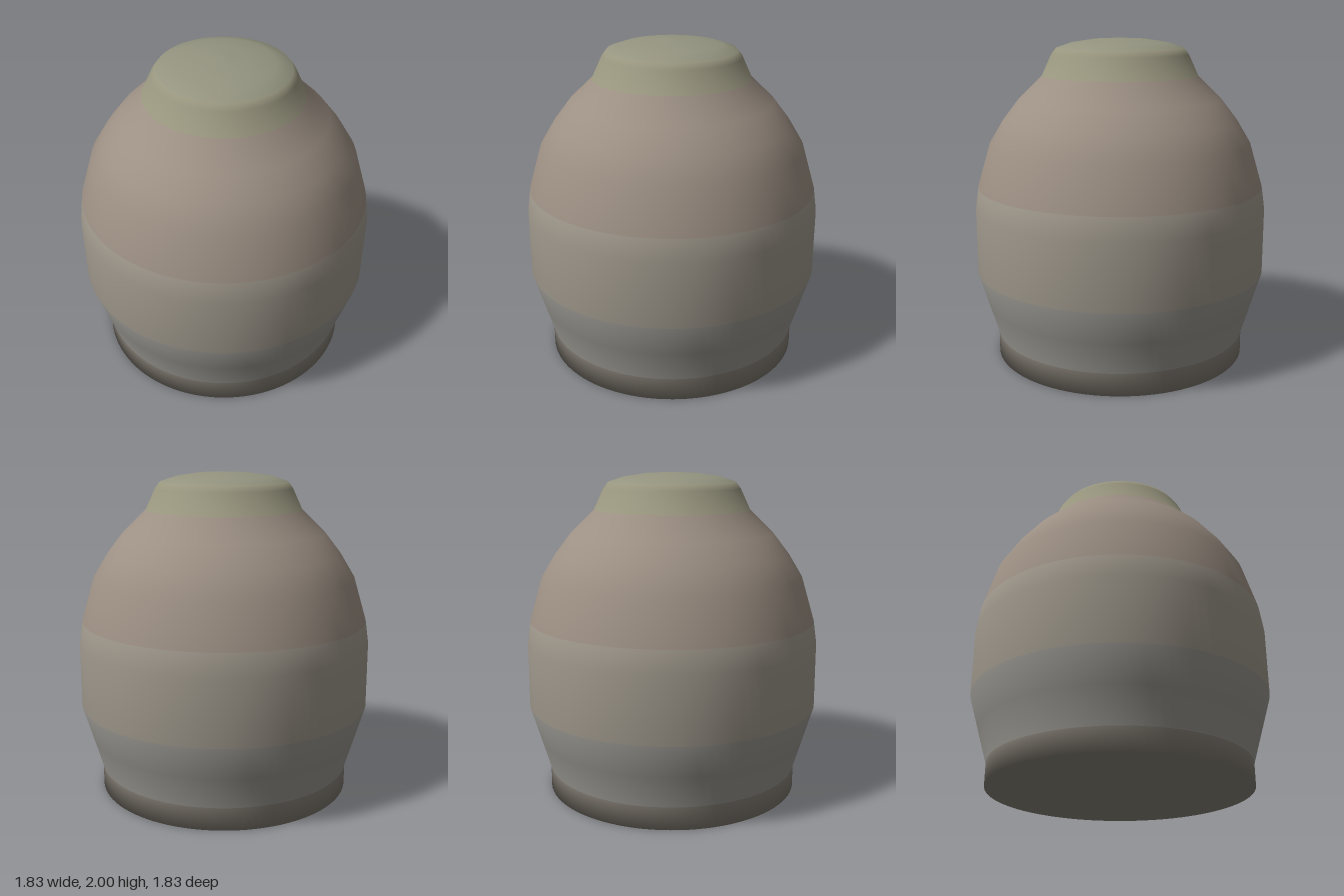
import * as THREE from 'three';
import { mergeVertices } from 'three/addons/utils/BufferGeometryUtils.js';

// Outline of the turned vessel, from the centre of its underside to the crown: [radius, height]
const PROFILE = [
  [0, 0], [0.795, 0], [0.795, 0.14], [0.855, 0.345], [0.915, 0.55], [0.915, 0.95],
  [0.895, 1.09], [0.815, 1.36], [0.73, 1.5], [0.63, 1.63], [0.485, 1.77],
  [0.425, 1.9], [0.395, 1.94], [0.3, 1.972], [0.16, 1.993], [0, 2],
];

// Glaze bands, each spanning a run of profile points
const BANDS = [
  { name: 'foot', from: 0, to: 2, color: 0x8a847a },
  { name: 'lowerBody', from: 2, to: 4, color: 0x96948e },
  { name: 'belly', from: 4, to: 6, color: 0x9f988c },
  { name: 'shoulder', from: 6, to: 10, color: 0x9d9084 },
  { name: 'neck', from: 10, to: 12, color: 0x99967f },
  { name: 'crown', from: 12, to: 15, color: 0x949480 },
];

const SEGMENTS = 96;

// Cuts one band out of the full lathe, keeping its smooth normals across the seams
function cutBand(lathe, from, to) {
  const last = PROFILE.length - 1;
  const rowOf = (vertex) => vertex % (last + 1);
  const source = lathe.index.array;
  const kept = [];
  for (let i = 0; i < source.length; i += 3) {
    const tri = [source[i], source[i + 1], source[i + 2]];
    if (tri.every((v) => rowOf(v) >= from && rowOf(v) <= to)) kept.push(...tri);
  }
  const band = lathe.clone();
  band.setIndex(kept);
  return mergeVertices(band.toNonIndexed());
}

export function createModel() {
  const group = new THREE.Group();
  group.name = 'vessel';
  const points = PROFILE.map(([r, y]) => new THREE.Vector2(r, y));
  const lathe = new THREE.LatheGeometry(points, SEGMENTS);

  for (const { name, from, to, color } of BANDS) {
    const material = new THREE.MeshStandardMaterial({ color });
    const mesh = new THREE.Mesh(cutBand(lathe, from, to), material);
    mesh.name = name;
    group.add(mesh);
  }
  return group;
}
